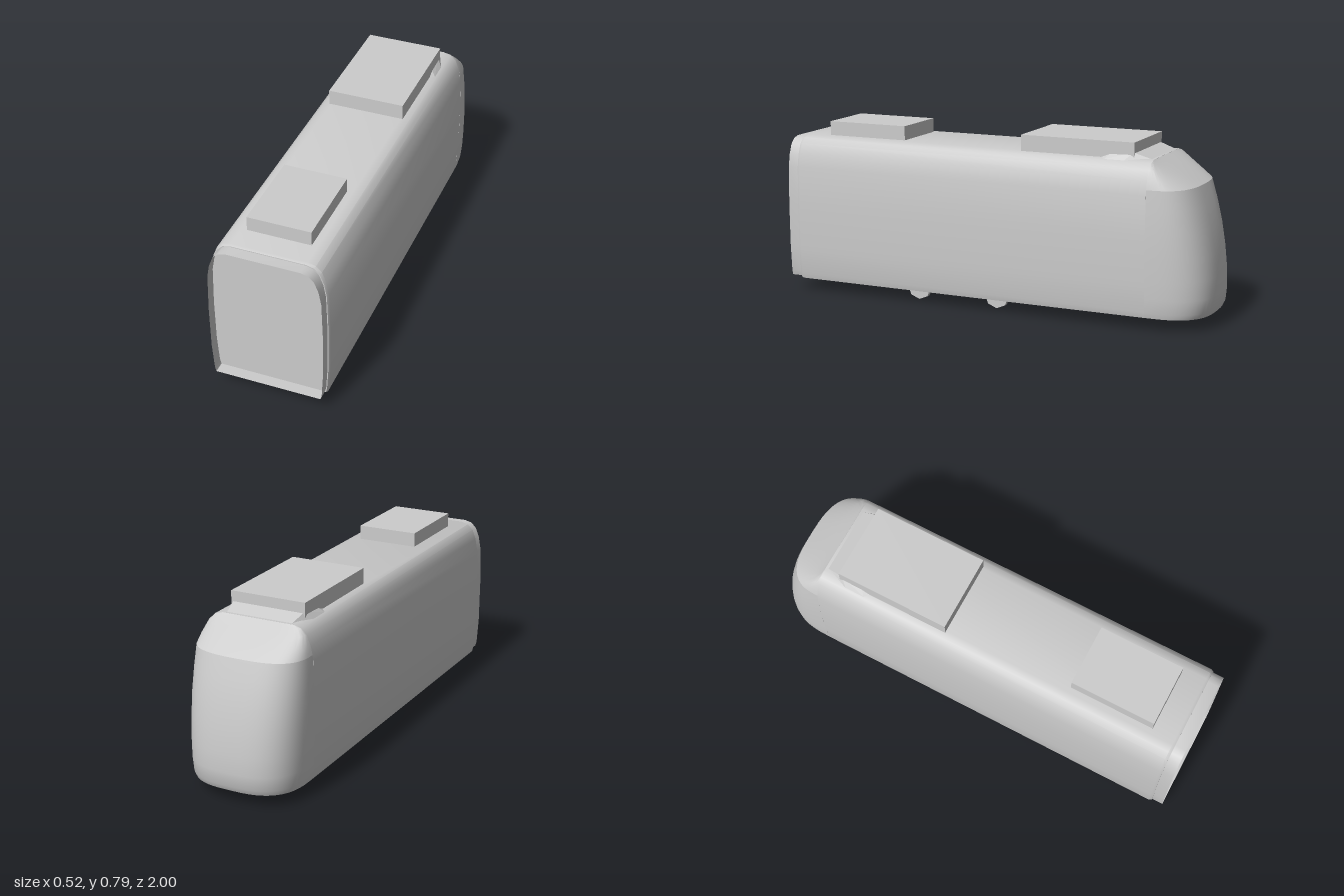
import * as THREE from 'three';
import { toCreasedNormals } from 'three/addons/utils/BufferGeometryUtils.js';
import { ConvexGeometry } from 'three/addons/geometries/ConvexGeometry.js';

// Skin a series of closed rings of [x, y, z]; optional fan caps at both ends.
function loft(rings, capStart = true, capEnd = true) {
  const pos = [];
  const n = rings[0].length;
  const tri = (a, b, c) => pos.push(...a, ...b, ...c);
  const centre = (ring) => [0, 1, 2].map((k) => ring.reduce((s, p) => s + p[k], 0) / n);
  for (let i = 0; i < rings.length - 1; i++) {
    for (let j = 0; j < n; j++) {
      const k = (j + 1) % n;
      const [a, b, c, d] = [rings[i][j], rings[i][k], rings[i + 1][j], rings[i + 1][k]];
      tri(a, b, d);
      tri(a, d, c);
    }
  }
  const first = rings[0], last = rings[rings.length - 1];
  const c0 = centre(first), c1 = centre(last);
  for (let j = 0; j < n; j++) {
    const k = (j + 1) % n;
    if (capStart) tri(c0, first[k], first[j]);
    if (capEnd) tri(c1, last[j], last[k]);
  }
  const g = new THREE.BufferGeometry();
  g.setAttribute('position', new THREE.Float32BufferAttribute(pos, 3));
  return toCreasedNormals(g, 0.6);
}

// Half of the car's cross-section, bottom to top: [half width, height]
const HALF = [
  [0.243, 0.056], [0.249, 0.08], [0.257, 0.2], [0.259, 0.4], [0.254, 0.58],
  [0.243, 0.64], [0.225, 0.685], [0.2, 0.71], [0.165, 0.719],
];

function section(z, sx = 1, sy = 1) {
  const mid = 0.388;
  const right = HALF.map(([x, y]) => [x * sx, mid + (y - mid) * sy, z]);
  const left = right.map(([x, y]) => [-x, y, z]).reverse();
  return [...right, ...left];
}

// Horizontal slice of the nose: rounded U from the body out to zFront
function noseSlice([y, w, zFront]) {
  const steps = 28, ring = [];
  for (let i = 0; i <= steps; i++) {
    const t = (i / steps) * Math.PI;
    const c = Math.cos(t), s = Math.max(0, Math.sin(t));
    const x = Math.sign(c) * Math.abs(c) ** 0.7 * w;
    ring.push([x, y, -0.74 + (zFront + 0.74) * s ** 0.7]);
  }
  return ring;
}

export function createModel() {
  const model = new THREE.Group();
  const grey = new THREE.MeshStandardMaterial({ color: 0xcccccc, side: THREE.DoubleSide });
  grey.name = 'light grey';

  const add = (name, geometry, x = 0, y = 0, z = 0) => {
    const mesh = new THREE.Mesh(geometry, grey);
    mesh.name = name;
    mesh.position.set(x, y, z);
    model.add(mesh);
    return mesh;
  };

  // Long body with a small bevel at the coupling end
  add('body', loft([section(-0.74), section(0.938), section(0.95, 0.98, 0.985)]));

  // Open gangway collar around the end wall
  add('gangway', loft([section(0.945, 0.965, 0.975), section(1, 0.965, 0.975)], false, false));

  // Rounded nose, with a crease where the windscreen meets the sloping brow
  add('nose', loft([
    [0.056, 0.243, -0.983], [0.08, 0.249, -0.995], [0.14, 0.254, -1], [0.22, 0.257, -0.997],
    [0.32, 0.259, -0.985], [0.42, 0.259, -0.967], [0.52, 0.256, -0.942], [0.605, 0.251, -0.915],
  ].map(noseSlice), true, false));
  add('brow', loft([
    [0.605, 0.251, -0.915], [0.64, 0.243, -0.865], [0.685, 0.225, -0.795],
    [0.71, 0.2, -0.755], [0.719, 0.165, -0.741],
  ].map(noseSlice), false, false));

  // Roof equipment
  add('frontRoofUnit', new THREE.BoxGeometry(0.28, 0.07, 0.385), 0, 0.748, 0.642);
  add('rearRoofUnit', new THREE.BoxGeometry(0.347, 0.075, 0.52), 0, 0.75, -0.398);

  // Low fairing under the rear roof unit
  const fairing = [];
  for (const s of [-1, 1]) {
    for (const [x, y, z] of [
      [0.17, 0.715, -0.5], [0.193, 0.712, -0.53], [0.193, 0.712, -0.62],
      [0.17, 0.735, -0.55], [0.165, 0.744, -0.65], [0.15, 0.715, -0.74],
    ]) fairing.push(new THREE.Vector3(s * x, y, z));
  }
  add('roofFairing', new ConvexGeometry(fairing));

  // Four wheels, mostly hidden inside the body
  const wheel = toCreasedNormals(
    new THREE.CylinderGeometry(0.058, 0.058, 0.021, 8).rotateZ(Math.PI / 2), 0.9);
  for (const x of [-0.163, 0.163]) {
    for (const z of [0.367, -0.02]) add('wheel', wheel, x, 0.058, z);
  }
  return model;
}
